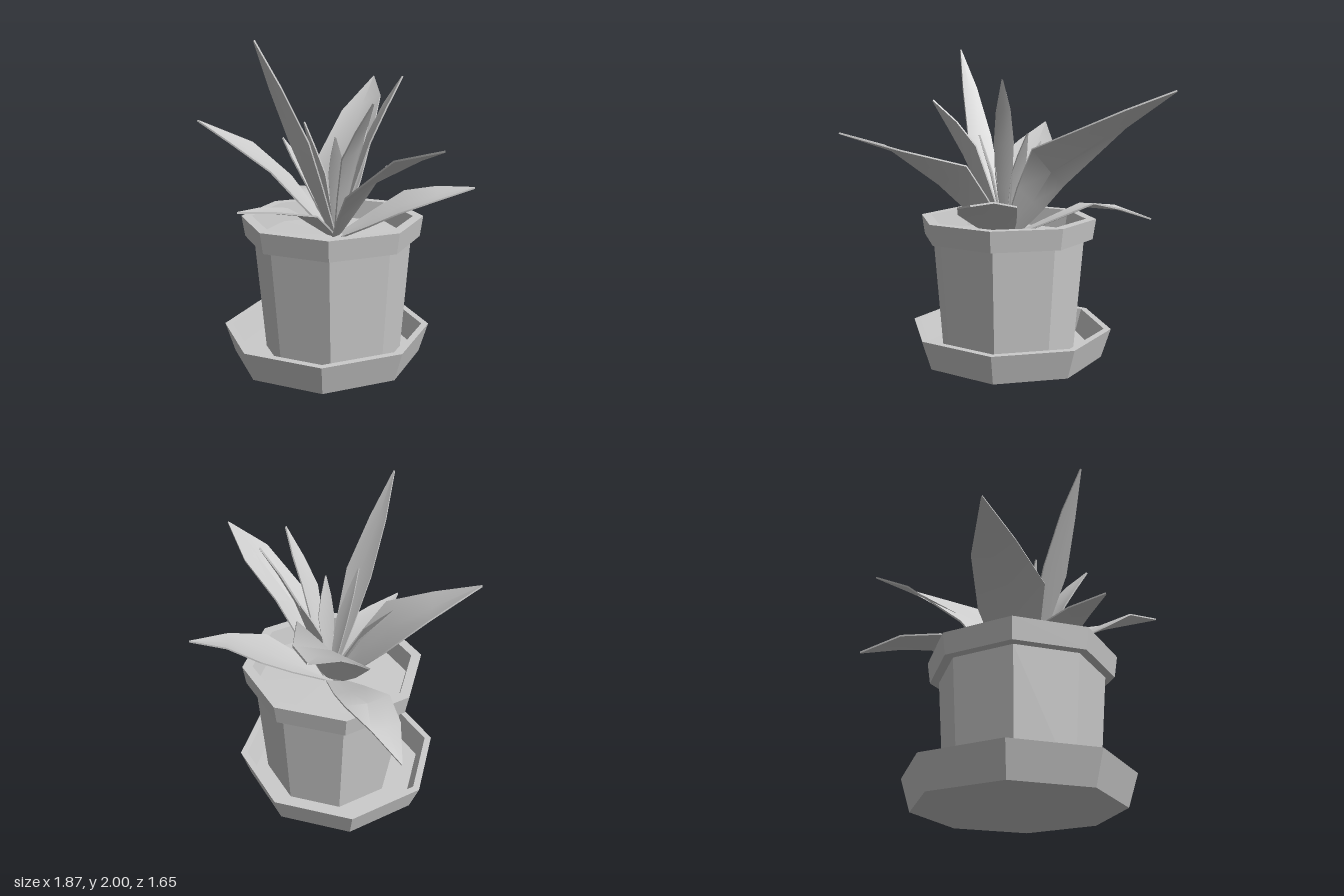
import * as THREE from 'three';
import { toCreasedNormals } from 'three/addons/utils/BufferGeometryUtils.js';

const V = (a) => new THREE.Vector3(...a);
const potMaterial = new THREE.MeshStandardMaterial({ color: 0xcccccc, flatShading: true });
const leafMaterial = new THREE.MeshStandardMaterial({ color: 0xcccccc });

// Eight-sided turned part from a radius/height profile
function octagonal(name, profile, x, z) {
  const points = profile.map(([r, y]) => new THREE.Vector2(r, y));
  const mesh = new THREE.Mesh(new THREE.LatheGeometry(points, 8), potMaterial);
  mesh.name = name;
  mesh.position.set(x, 0, z);
  return mesh;
}

// Thin leaf: rings of six points run from the root through two stations to the tip
const ROOT = V([-0.1, 0.78, 0.09]);
function leaf(name, { mid, half, upper, upperHalf, tip }) {
  const c1 = V(mid), h1 = V(half), end = V(tip);
  const c2 = upper ? V(upper) : c1.clone().lerp(end, 0.5);
  const h2 = upperHalf ? V(upperHalf) : h1.clone().multiplyScalar(0.65);
  const centres = [ROOT.clone().lerp(c1, 0.04), ROOT.clone().lerp(c1, 0.55), c1, c2, end];
  const halves = [h1.clone().multiplyScalar(0.25), h1.clone().multiplyScalar(0.72), h1, h2,
    h2.clone().setLength(0.003)];
  const thickness = 0.01;
  const positions = [], index = [];

  centres.forEach((c, i) => {
    const before = centres[Math.max(i - 1, 0)], after = centres[Math.min(i + 1, 4)];
    const normal = after.clone().sub(before).cross(halves[i]).normalize();
    const fold = halves[i].length() * 0.14;
    const top = [[-1, 0], [0, -fold], [1, 0]].map(([s, d]) =>
      c.clone().addScaledVector(halves[i], s).addScaledVector(normal, d));
    const under = top.map((p) => p.clone().addScaledVector(normal, -thickness)).reverse();
    [...top, ...under].forEach((p) => positions.push(p.x, p.y, p.z));
  });
  for (let i = 0; i < 4; i++) {
    for (let j = 0; j < 6; j++) {
      const a = i * 6 + j, b = i * 6 + (j + 1) % 6;
      index.push(a, a + 6, b, b, a + 6, b + 6);
    }
  }
  const geometry = new THREE.BufferGeometry();
  geometry.setAttribute('position', new THREE.Float32BufferAttribute(positions, 3));
  geometry.setIndex(index);
  const mesh = new THREE.Mesh(toCreasedNormals(geometry, 0.6), leafMaterial);
  mesh.name = name;
  return mesh;
}

// half: vector from the midrib to one edge, chosen so the leaf's upper face looks up or inward
const LEAVES = {
  backLargeLeaf: { mid: [-0.28, 1.24, -0.115], half: [-0.2, -0.13, 0.09],
    upper: [-0.51, 1.55, -0.55], upperHalf: [-0.095, -0.055, 0.095], tip: [-0.65, 1.715, -0.82] },
  leftLargeLeaf: { mid: [0.25, 1.2, 0.17], half: [0, 0.07, -0.17],
    upper: [0.62, 1.38, 0.23], upperHalf: [0, -0.01, -0.11], tip: [0.93, 1.475, 0.3] },
  frontRightLeaf: { mid: [-0.36, 1.18, 0.3], half: [0.11, 0.05, 0.17],
    upper: [-0.59, 1.36, 0.42], upperHalf: [0.06, 0.015, 0.125], tip: [-0.81, 1.5, 0.6] },
  backLeftLeaf: { mid: [0.22, 1.02, -0.17], half: [-0.11, 0.03, -0.15],
    upper: [0.39, 1.08, -0.31], upperHalf: [-0.07, 0.02, -0.08], tip: [0.54, 1.11, -0.49] },
  droopingRightLeaf: { mid: [-0.56, 1.0, -0.16], half: [-0.06, -0.02, 0.14],
    upper: [-0.75, 0.97, -0.25], upperHalf: [-0.045, 0, 0.08], tip: [-0.94, 0.89, -0.37] },
  frontLowLeaf: { mid: [-0.1, 0.99, 0.36], half: [0.14, 0, 0],
    upper: [-0.12, 1.04, 0.6], upperHalf: [0.08, 0, 0], tip: [-0.12, 1.065, 0.82] },
  tallFrontLeaf: { mid: [-0.09, 1.42, 0.38], half: [0.09, 0, 0],
    upper: [-0.11, 1.74, 0.53], upperHalf: [0.055, 0, 0], tip: [-0.12, 2, 0.66] },
  innerLeftLeaf: { mid: [0.12, 1.35, 0.17], half: [0, 0.03, -0.075],
    upper: [0.23, 1.51, 0.19], upperHalf: [0, 0.02, -0.05], tip: [0.35, 1.66, 0.22] },
  innerBackLeaf: { mid: [0.03, 1.4, -0.07], half: [-0.05, 0.01, -0.035],
    upper: [0.09, 1.6, -0.15], upperHalf: [-0.035, 0.01, -0.025], tip: [0.155, 1.78, -0.235] },
  innerRightLeaf: { mid: [-0.28, 1.16, 0.16], half: [0.02, 0, 0.055], tip: [-0.46, 1.385, 0.2] },
  smallBackLeaf: { mid: [-0.09, 1.2, -0.04], half: [-0.05, 0, 0], tip: [-0.075, 1.46, -0.165] },
  smallFrontLeaf: { mid: [-0.12, 1.2, 0.18], half: [0.04, 0, 0], tip: [-0.155, 1.52, 0.28] },
  smallCentreLeaf: { mid: [-0.03, 1.2, 0.14], half: [0.03, 0, -0.04], tip: [0.025, 1.44, 0.2] },
};

export function createModel() {
  const model = new THREE.Group();
  model.name = 'pottedPlant';

  // Saucer, rimmed pot and soil
  model.add(octagonal('saucer',
    [[0, 0], [0.6, 0], [0.66, 0.19], [0.615, 0.19], [0.565, 0.04], [0, 0.04]], -0.155, 0.12));
  model.add(octagonal('pot',
    [[0, 0.04], [0.435, 0.04], [0.495, 0.785], [0.55, 0.785], [0.57, 0.915], [0.505, 0.915], [0.475, 0.76]],
    -0.115, 0.1));
  model.add(octagonal('soil', [[0.482, 0.79], [0, 0.8]], -0.115, 0.1));

  // Leaf rosette
  const plant = new THREE.Group();
  plant.name = 'leaves';
  for (const [name, shape] of Object.entries(LEAVES)) plant.add(leaf(name, shape));
  model.add(plant);
  return model;
}
